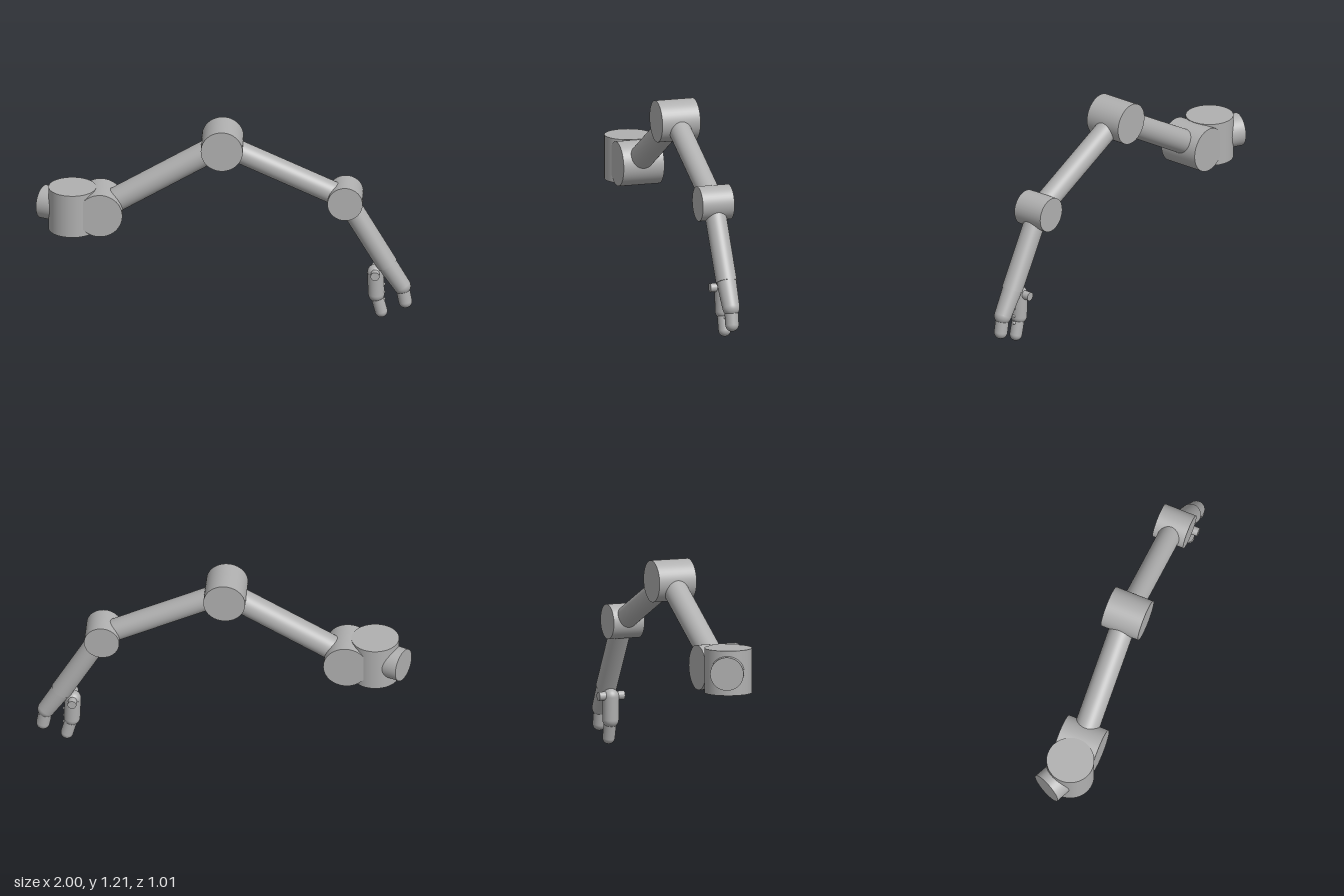
import * as THREE from 'three';

const V = (x, y, z) => new THREE.Vector3(x, y, z);

// The whole arm hangs in one vertical plane turned 25 degrees about y.
const TURN = THREE.MathUtils.degToRad(25);
const REACH = V(Math.cos(TURN), 0, -Math.sin(TURN));
const HINGE = V(Math.sin(TURN), 0, Math.cos(TURN));
// Point in the arm plane from its x and y.
const inPlane = (x, y) => V(x, y, -0.3125 - (x - 0.639) * Math.tan(TURN));

export function createModel() {
  const group = new THREE.Group();
  const grey = new THREE.MeshStandardMaterial({ color: 0xb0b0b0 });
  grey.name = 'grey';

  function add(name, geometry, position) {
    const mesh = new THREE.Mesh(geometry, grey);
    mesh.name = name;
    mesh.position.copy(position);
    group.add(mesh);
    return mesh;
  }

  // Cylinder from a to b.
  function rod(name, a, b, rA, rB = rA) {
    const dir = b.clone().sub(a);
    const mesh = add(name, new THREE.CylinderGeometry(rB, rA, dir.length(), 48), a.clone().add(b).multiplyScalar(0.5));
    mesh.quaternion.setFromUnitVectors(V(0, 1, 0), dir.normalize());
  }

  // Cylinder centred on a point and lying along the hinge axis.
  function hinge(name, centre, radius, length) {
    const half = HINGE.clone().multiplyScalar(length / 2);
    rod(name, centre.clone().sub(half), centre.clone().add(half), radius);
  }

  const ball = (name, centre, r) => add(name, new THREE.SphereGeometry(r, 32, 20), centre);

  // Mount and vertical swivel
  rod('mountStub', V(-1, 0.682, 0.365), V(-0.81, 0.682, 0.365), 0.098);
  rod('baseSwivel', V(-0.81, 0.547, 0.365), V(-0.81, 0.811, 0.365), 0.14);

  // Three hinge drums
  const shoulder = inPlane(-0.662, 0.679);
  const elbow = inPlane(-0.015, 1.093);
  const wrist = inPlane(0.639, 0.757);
  hinge('shoulderJoint', shoulder, 0.132, 0.25);
  hinge('elbowJoint', elbow, 0.123, 0.234);
  hinge('wristJoint', wrist, 0.103, 0.194);

  // Links
  const knuckle = inPlane(0.862, 0.335);
  rod('upperArm', shoulder, elbow, 0.073);
  rod('forearm', elbow, wrist, 0.066);
  rod('handLink', wrist, knuckle, 0.063, 0.062);

  // Long finger continuing the hand link
  const fingerBend = inPlane(0.94, 0.2);
  const fingerTip = inPlane(0.957, 0.102);
  rod('fingerBase', knuckle, fingerBend, 0.058, 0.051);
  ball('fingerKnuckle', fingerBend, 0.051);
  rod('fingerEnd', fingerBend, fingerTip, 0.04);
  ball('fingerTip', fingerTip, 0.04);

  // Opposing thumb on its hinge pin
  const thumbTop = inPlane(0.798, 0.285);
  const thumbBend = inPlane(0.803, 0.148);
  const thumbTip = inPlane(0.829, 0.038);
  hinge('thumbPin', inPlane(0.798, 0.29), 0.026, 0.16);
  ball('thumbTop', thumbTop, 0.048);
  rod('thumbBase', thumbTop, thumbBend, 0.048);
  ball('thumbKnuckle', thumbBend, 0.048);
  rod('thumbEnd', thumbBend, thumbTip, 0.037);
  ball('thumbTip', thumbTip, 0.037);

  // Grip studs on the thumb's inner side
  for (const y of [0.115, 0.16, 0.21, 0.26]) {
    ball('gripStud', inPlane(0.8, y).addScaledVector(REACH, 0.047), 0.01);
  }

  return group;
}
